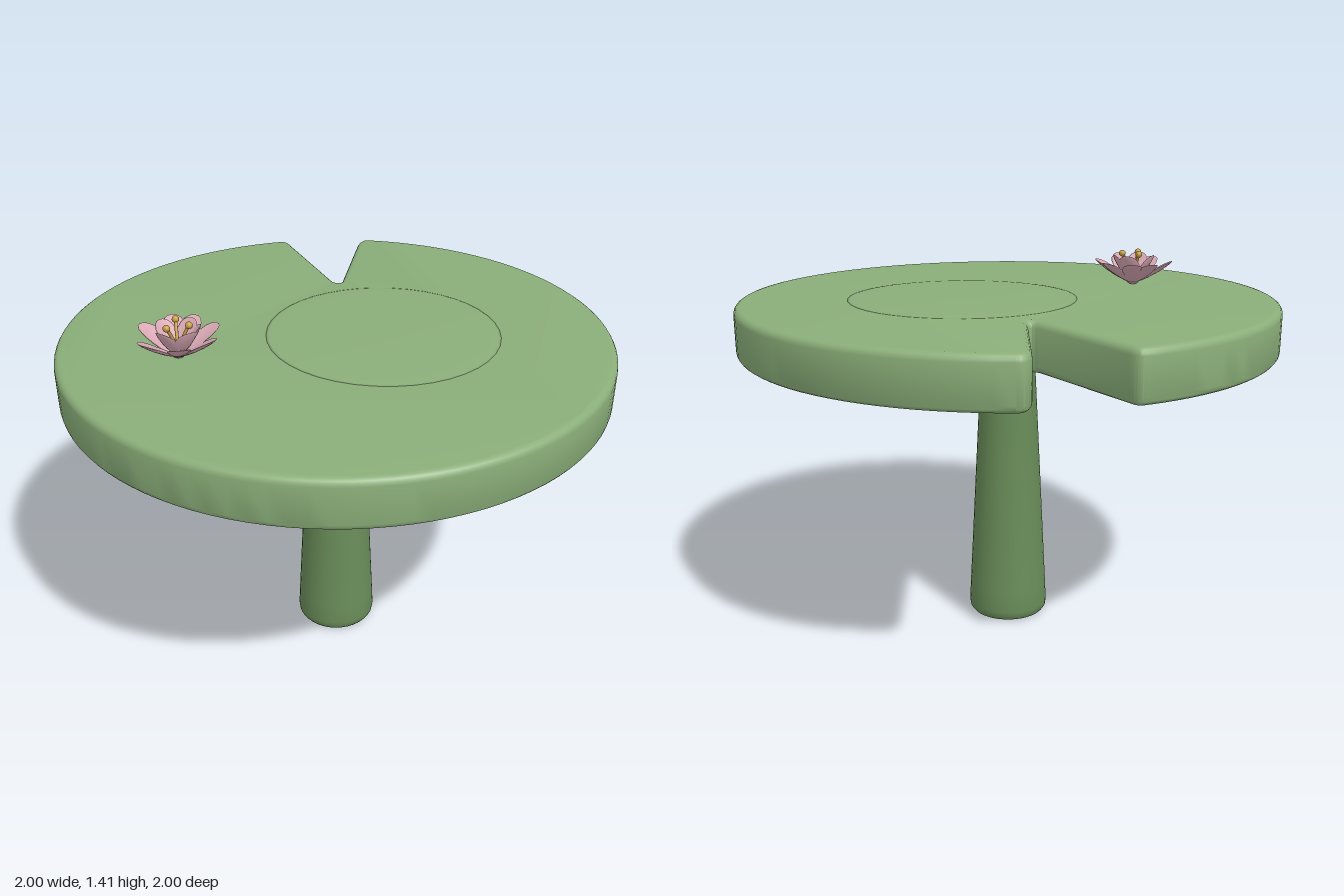
import * as THREE from 'three';
import { toCreasedNormals } from 'three/addons/utils/BufferGeometryUtils.js';

const rad = THREE.MathUtils.degToRad;

function createMaterial(name, color) {
  const m = new THREE.MeshStandardMaterial({ color });
  m.name = name;
  return m;
}

// Thin leaf-shaped petal lying along +z, cupped across and curling up at the tip
function petalGeometry(length, halfWidth) {
  const geo = new THREE.SphereGeometry(1, 16, 10);
  const p = geo.attributes.position;
  for (let i = 0; i < p.count; i++) {
    const t = (p.getY(i) + 1) / 2;
    const x = p.getX(i) * halfWidth * (0.6 + 0.6 * t);
    const y = -p.getZ(i) * 0.006 + 6 * x * x + 0.02 * t * t;
    p.setXYZ(i, x, y, t * length);
  }
  geo.computeVertexNormals();
  return geo;
}

export function createModel() {
  const model = new THREE.Group();
  const padGreen = createMaterial('pad green', 0x8aae79);
  const stemGreen = createMaterial('stem green', 0x698d59);
  const pink = createMaterial('petal pink', 0xd9a9b5);
  const gold = createMaterial('stamen gold', 0xc49c40);

  function add(parent, name, geo, mat, x = 0, y = 0, z = 0) {
    const mesh = new THREE.Mesh(geo, mat);
    mesh.name = name;
    mesh.position.set(x, y, z);
    parent.add(mesh);
    return mesh;
  }

  // Round pad with a soft-cornered notch at the back
  const outline = new THREE.Shape();
  outline.absarc(0, 0, 1, rad(83.5), rad(420.5), false);
  outline.quadraticCurveTo(0.45, 0.9, 0.415, 0.84);
  outline.lineTo(0.207, 0.48);
  outline.quadraticCurveTo(0.183, 0.435, 0.17, 0.48);
  outline.lineTo(0.145, 0.945);
  outline.quadraticCurveTo(0.143, 0.99, Math.cos(rad(83.5)), Math.sin(rad(83.5)));
  const bevel = 0.025;
  const pad = new THREE.ExtrudeGeometry(outline, {
    depth: 0.18 - 2 * bevel, curveSegments: 48, bevelEnabled: true,
    bevelSize: bevel, bevelThickness: bevel, bevelOffset: -bevel, bevelSegments: 4,
  });
  pad.rotateX(-Math.PI / 2);
  add(model, 'pad', toCreasedNormals(pad, 0.6), padGreen, 0, 1.09 + bevel, 0);

  // Barely raised swelling in the middle of the pad
  const swell = new THREE.SphereGeometry(1, 40, 6, 0, Math.PI * 2, 0, Math.PI / 2);
  swell.scale(0.43, 0.01, 0.43);
  add(model, 'padSwelling', swell, padGreen, 0.16, 1.269, 0.06);

  // Tapered stem with a rounded foot
  const profile = [
    [0, 0], [0.125, 0], [0.142, 0.006], [0.151, 0.018], [0.154, 0.04],
    [0.15, 0.12], [0.102, 1.05], [0.104, 1.075], [0.112, 1.1],
  ].map(([x, y]) => new THREE.Vector2(x, y));
  add(model, 'stem', toCreasedNormals(new THREE.LatheGeometry(profile, 40), 0.7), stemGreen);

  // Flower resting on the left-hand side of the picture plane (-x)
  const flower = new THREE.Group();
  flower.name = 'flower';
  flower.position.set(-0.58, 1.275, 0);
  model.add(flower);

  function petalRing(name, angles, length, halfWidth, pitch) {
    const geo = petalGeometry(length, halfWidth);
    for (const angle of angles) {
      const petal = add(flower, name, geo, pink);
      petal.rotation.set(-rad(pitch), rad(angle), 0, 'YXZ');
    }
  }
  petalRing('outerPetal', [97, 43, -10, -69, -137, 173, 142], 0.178, 0.043, 24);
  petalRing('innerPetal', [-148, 18, 125, -54, 70], 0.14, 0.044, 46);

  // Flower heart and three stamens
  const heart = new THREE.SphereGeometry(0.025, 14, 8);
  heart.scale(1, 0.6, 1);
  add(flower, 'flowerHeart', heart, pink, 0, 0.01, 0);
  for (const angle of [60, -60, 170]) {
    const a = rad(angle);
    const tip = new THREE.Vector3(Math.sin(a) * 0.045, 0.118, Math.cos(a) * 0.045);
    const path = new THREE.QuadraticBezierCurve3(
      new THREE.Vector3(0, 0.01, 0),
      new THREE.Vector3(tip.x * 0.35, 0.07, tip.z * 0.35), tip);
    add(flower, 'stamen', new THREE.TubeGeometry(path, 8, 0.006, 8), gold);
    add(flower, 'stamenTip', new THREE.SphereGeometry(0.013, 12, 8), gold, tip.x, tip.y, tip.z);
  }
  return model;
}
